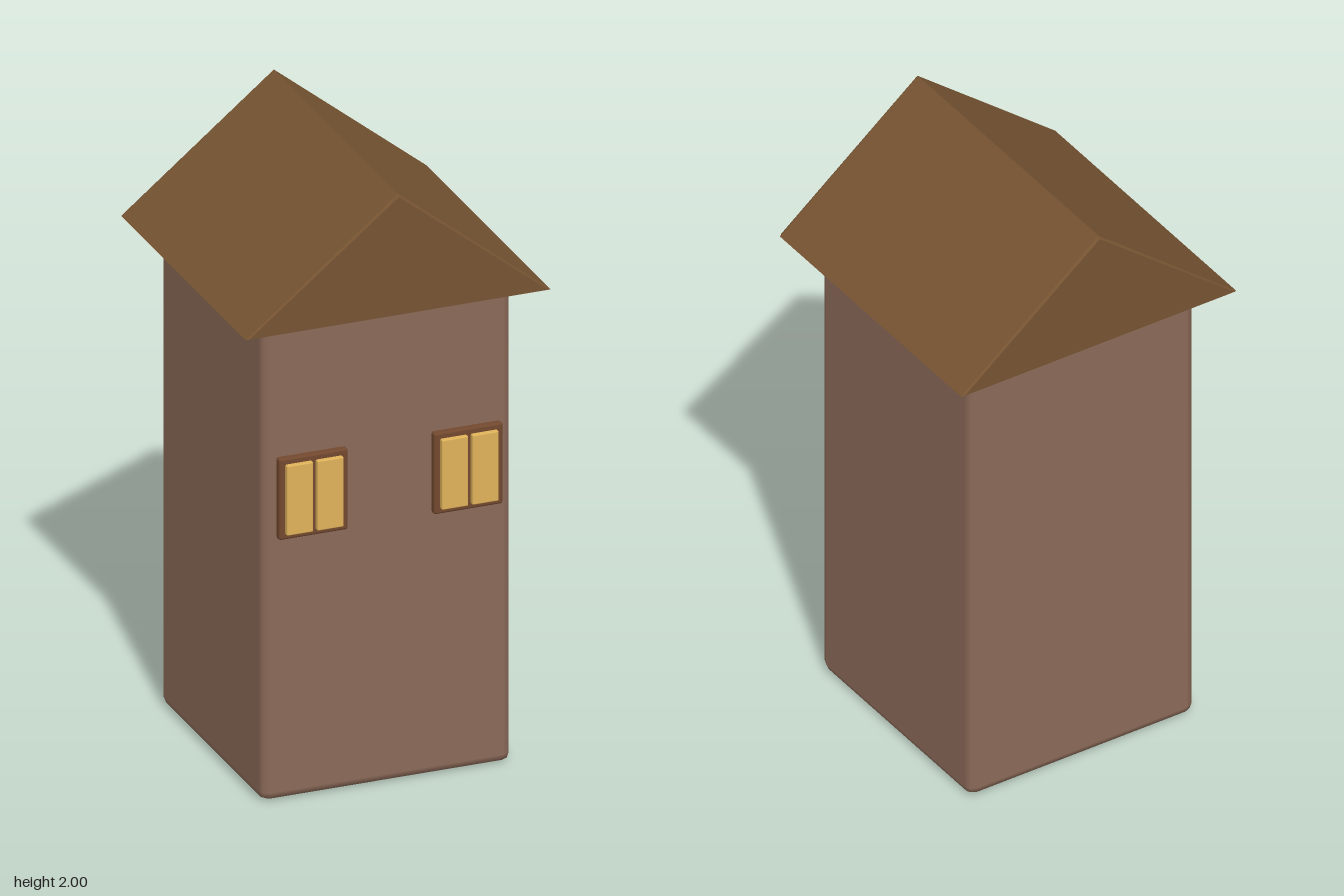
import * as THREE from 'three';
import { RoundedBoxGeometry } from 'three/addons/geometries/RoundedBoxGeometry.js';

const material = (name, color) => {
  const m = new THREE.MeshStandardMaterial({ color });
  m.name = name;
  return m;
};

export function createModel() {
  const wallBrown = material('wallBrown', 0x8b6a58);
  const roofBrown = material('roofBrown', 0x775432);
  const frameBrown = material('frameBrown', 0x73492f);
  const paneGold = material('paneGold', 0xe0b35a);

  const model = new THREE.Group();
  model.name = 'towerHouse';

  const add = (parent, name, geometry, mat, x, y, z) => {
    const mesh = new THREE.Mesh(geometry, mat);
    mesh.name = name;
    mesh.position.set(x, y, z);
    parent.add(mesh);
    return mesh;
  };

  // Walls: tall block with softened edges
  add(model, 'walls', new RoundedBoxGeometry(0.82, 1.59, 0.82, 1, 0.03), wallBrown, 0, 0.8, 0);

  // Gable roof: triangle with slightly bevelled ends
  const gable = new THREE.Shape([
    new THREE.Vector2(-0.5, 1.597),
    new THREE.Vector2(0.5, 1.597),
    new THREE.Vector2(0, 2),
  ]);
  const bevel = 0.007;
  const roof = new THREE.ExtrudeGeometry(gable, {
    depth: 1.01 - 2 * bevel,
    bevelEnabled: true,
    bevelSegments: 1,
    bevelThickness: bevel,
    bevelSize: bevel,
    bevelOffset: -bevel,
  });
  roof.translate(0, 0, -0.505 + bevel);
  add(model, 'roof', roof, roofBrown, 0, 0, 0);

  // Two front windows, each a frame with a pair of panes
  const frame = new RoundedBoxGeometry(0.227, 0.27, 0.028, 1, 0.008);
  const pane = new RoundedBoxGeometry(0.087, 0.232, 0.02, 1, 0.004);
  for (const [side, x] of [['left', 0.253], ['right', -0.255]]) {
    const win = new THREE.Group();
    win.name = side + 'Window';
    win.position.set(x, 1.02, 0);
    add(win, 'windowFrame', frame, frameBrown, 0, 0, 0.431);
    for (const s of [-1, 1]) add(win, 'windowPane', pane, paneGold, s * 0.05, 0, 0.45);
    model.add(win);
  }

  return model;
}
